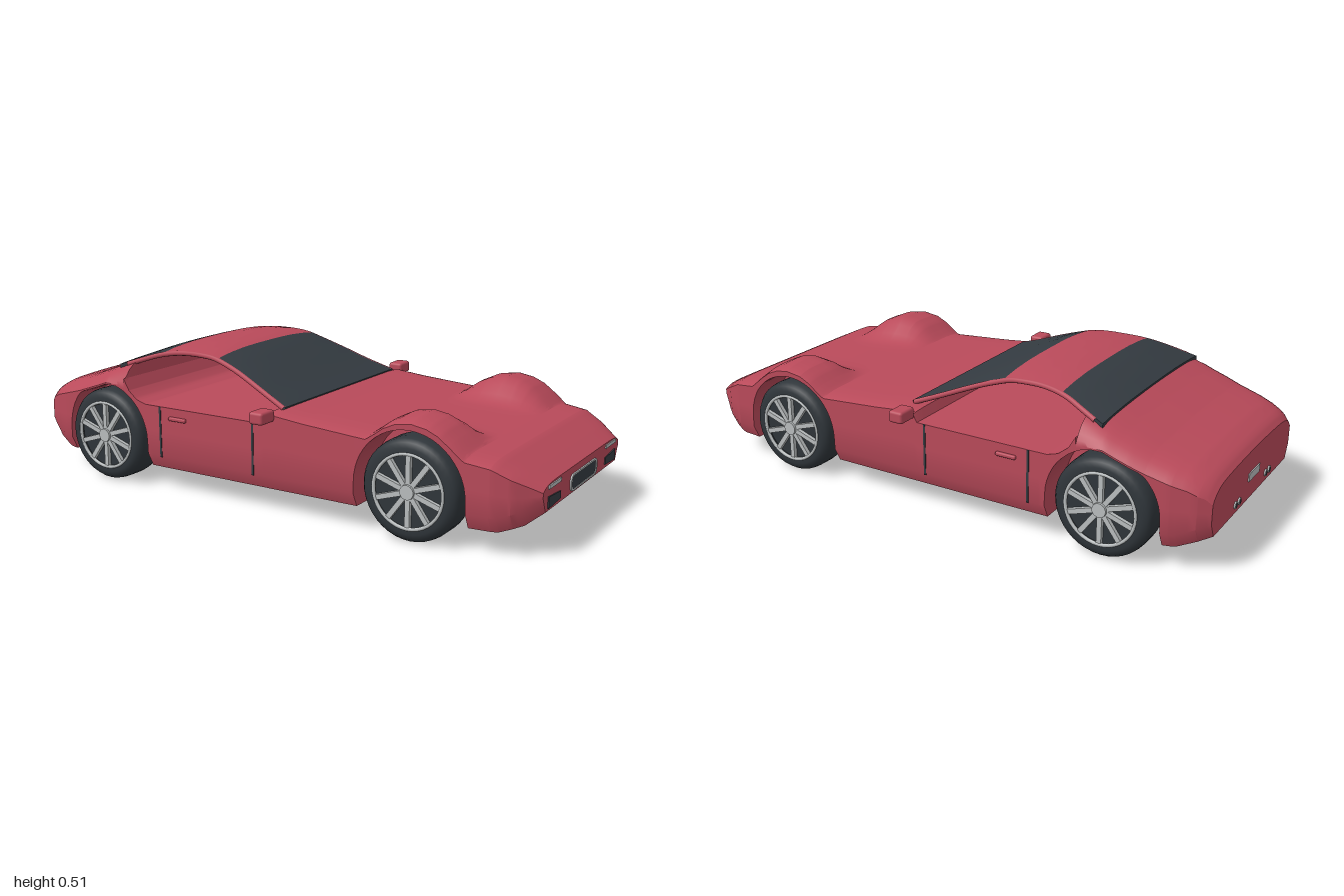
import * as THREE from 'three';
import { toCreasedNormals } from 'three/addons/utils/BufferGeometryUtils.js';
import { RoundedBoxGeometry } from 'three/addons/geometries/RoundedBoxGeometry.js';

const paint = (name, color) => {
  const m = new THREE.MeshStandardMaterial({ color });
  m.name = name;
  return m;
};

// Piecewise linear lookup through [x, value] pairs
function lerpTable(table, x) {
  if (x <= table[0][0]) return table[0][1];
  for (let i = 1; i < table.length; i++) {
    const [x0, v0] = table[i - 1], [x1, v1] = table[i];
    if (x <= x1) return v0 + (v1 - v0) * (x - x0) / (x1 - x0);
  }
  return table[table.length - 1][1];
}

// Skin over mirrored cross-sections; half(x) lists [z, y] from bottom centre round +z to top centre
function loft(xs, half, crease = 0.5) {
  const pos = [], idx = [];
  let n = 0;
  const centres = [];
  for (const x of xs) {
    const h = half(x);
    const ring = [...h, ...h.slice(1, -1).reverse().map(([z, y]) => [-z, y])];
    n = ring.length;
    ring.forEach(([z, y]) => pos.push(x, y, z));
    centres.push((h[0][1] + h[h.length - 1][1]) / 2);
  }
  const last = xs.length - 1, c = xs.length * n;
  pos.push(xs[0], centres[0], 0, xs[last], centres[last], 0);
  for (let j = 0; j < n; j++) {
    const k = (j + 1) % n;
    for (let i = 0; i < last; i++) {
      const a = i * n, b = a + n;
      idx.push(a + j, b + j, a + k, b + j, b + k, a + k);
    }
    idx.push(c, j, k, c + 1, last * n + k, last * n + j);
  }
  const g = new THREE.BufferGeometry();
  g.setAttribute('position', new THREE.Float32BufferAttribute(pos, 3));
  g.setIndex(idx);
  return toCreasedNormals(g, crease);
}

const WHEELS = [-0.66, 0.59], AXLE_Y = 0.17, ARCH = 0.195;
const WIDTH = [[-1, 0.365], [-0.96, 0.39], [-0.88, 0.415], [-0.75, 0.43], [-0.5, 0.435], [0.75, 0.435],
  [0.86, 0.425], [0.92, 0.405], [0.97, 0.37], [1, 0.35]];
const BOTTOM = [[-1, 0.125], [-0.9, 0.083], [-0.86, 0.08], [0.88, 0.08], [0.95, 0.105], [1, 0.145]];
const TOP = [[-1, 0.295], [-0.98, 0.315], [-0.93, 0.338], [-0.8, 0.375], [-0.7, 0.41], [-0.57, 0.46],
  [-0.569, 0.39], [-0.545, 0.35], [-0.51, 0.322], [-0.47, 0.31], [0.03, 0.31], [0.045, 0.343], [0.09, 0.354],
  [0.2, 0.344], [0.43, 0.33], [0.6, 0.322], [0.78, 0.31], [0.86, 0.3], [0.94, 0.262], [1, 0.232]];
const BULGE = [[0.43, 0.325], [0.47, 0.352], [0.5, 0.374], [0.54, 0.393], [0.6, 0.402], [0.65, 0.394],
  [0.69, 0.377], [0.73, 0.348], [0.78, 0.308], [0.8, 0.28]];
const DROP = [[-1, 0.04], [-0.66, 0.045], [-0.57, 0.08], [-0.569, 0], [0.03, 0], [0.06, 0.012], [1, 0.02]];
const ACROSS = [1, 0.985, 0.96, 0.92, 0.87, 0.8, 0.72, 0.64, 0.56, 0.48, 0.4, 0.3, 0.15, 0];

function bodySection(x) {
  const W = lerpTable(WIDTH, x), b = lerpTable(BOTTOM, x), top = lerpTable(TOP, x);
  const drop = lerpTable(DROP, x), crown = x < -0.5695 ? 0.015 : 0;
  const bulge = x > 0.43 && x < 0.8 ? Math.max(0, lerpTable(BULGE, x) - top) : 0;
  const height = u => top + bulge * THREE.MathUtils.smoothstep(u * W, 0.15, 0.29)
    - drop * u ** 12 - crown * u * u;
  // The lower edge of the flank rises over each wheel
  let lip = b;
  for (const cx of WHEELS) {
    const d = Math.abs(x - cx);
    if (d <= ARCH + 1e-6) lip = AXLE_Y + Math.sqrt(Math.max(0, ARCH * ARCH - d * d));
  }
  const edge = height(1);
  lip = Math.min(lip, edge - 0.006);
  const side = y => [W - 0.025 * Math.max(0, 1 - (y - b) / 0.05), y];
  const knee = Math.max(lip, Math.min(b + 0.05, edge));
  return [[0, b], [0.29, b], [0.29, lip], side(lip), side(knee), side((knee + edge) / 2),
    ...ACROSS.map(u => [u * W, height(u)])];
}

// Canopy profile: height, half width and crown along the car
const ROOF = [[-0.63, 0.442], [-0.57, 0.466], [-0.51, 0.487], [-0.46, 0.5], [-0.4, 0.507], [-0.33, 0.508],
  [-0.27, 0.504], [-0.235, 0.497], [-0.18, 0.478], [-0.1, 0.443], [0, 0.396], [0.09, 0.358]];
const ROOF_W = [[-0.63, 0.378], [-0.57, 0.36], [-0.46, 0.32], [-0.38, 0.305], [-0.235, 0.302], [-0.15, 0.313],
  [0, 0.345], [0.09, 0.37]];
const ROOF_CROWN = [[-0.63, 0.014], [-0.57, 0.018], [-0.46, 0.018], [-0.2, 0.018], [0.09, 0]];

function canopySection(x) {
  const w = lerpTable(ROOF_W, x), y = lerpTable(ROOF, x), crown = lerpTable(ROOF_CROWN, x);
  const us = [0, 0.25, 0.5, 0.75, 0.9, 1], at = u => y - crown * u ** 3;
  return [...us.map(u => [u * w, at(u) - 0.014]), ...us.reverse().map(u => [u * w, at(u)])];
}

export function createModel() {
  const car = new THREE.Group();
  car.name = 'sportsCar';
  const red = paint('bodyRed', 0xb94a5a), glass = paint('darkGlass', 0x343b41);
  const rubber = paint('tyreRubber', 0x2f353a), silver = paint('silver', 0xb9bdbe);
  const add = (name, geo, mat, x = 0, y = 0, z = 0, parent = car) => {
    const m = new THREE.Mesh(geo, mat);
    m.name = name;
    m.position.set(x, y, z);
    parent.add(m);
    return m;
  };

  // Body shell with wheel wells; extra stations round the arches
  const stations = new Set([...WIDTH, ...BOTTOM, ...TOP, ...BULGE].map(p => p[0]));
  for (let i = -38; i <= 38; i++) stations.add(i * 0.026);
  for (const cx of WHEELS) {
    for (let k = 0; k <= 24; k++) stations.add(cx + ARCH * Math.cos(Math.PI * k / 24));
    stations.add(cx - ARCH - 0.001).add(cx + ARCH + 0.001);
  }
  add('body', loft([...stations].sort((a, b) => a - b), bodySection), red).scale.x = 0.995;

  // Canopy: rear window, roof, windscreen and the rails beside them
  const span = (x0, x1) => Array.from({ length: 13 }, (_, i) => x0 + (x1 - x0) * i / 12);
  add('rearWindow', loft(span(-0.63, -0.46), canopySection), glass);
  add('roof', loft(span(-0.46, -0.235), canopySection), red);
  add('windscreen', loft(span(-0.235, 0.09), canopySection), glass);
  for (const s of [1, -1]) {
    const rail = new THREE.CatmullRomCurve3(span(-0.6, 0.085).map(x => new THREE.Vector3(
      x, lerpTable(ROOF, x) - lerpTable(ROOF_CROWN, x) - 0.008, s * lerpTable(ROOF_W, x))));
    add('roofRail', new THREE.TubeGeometry(rail, 40, 0.009, 8), red);
  }

  // Door seams, handles and mirrors
  for (const s of [1, -1]) {
    for (const x of [-0.4, 0]) {
      add('doorSeam', new THREE.BoxGeometry(0.008, 0.185, 0.004), glass, x, 0.2175, s * 0.435);
    }
    add('doorHandle', new RoundedBoxGeometry(0.075, 0.014, 0.014, 2, 0.005), red, -0.32, 0.273, s * 0.438);
    add('mirror', new RoundedBoxGeometry(0.055, 0.042, 0.076, 3, 0.01), red, 0.065, 0.345, s * 0.472);
    add('mirrorStalk', new THREE.BoxGeometry(0.025, 0.014, 0.05), red, 0.065, 0.333, s * 0.425);
  }

  // Nose: oval grille, air intakes and lamps
  const oval = (a, b) => {
    const shape = new THREE.Shape();
    shape.moveTo(-a + b, -b).lineTo(a - b, -b);
    shape.bezierCurveTo(a, -b, a, b, a - b, b);
    shape.lineTo(-a + b, b).bezierCurveTo(-a, b, -a, -b, -a + b, -b);
    return shape;
  };
  const plate = (shape, depth) => new THREE.ExtrudeGeometry(shape, { depth, bevelEnabled: false, curveSegments: 16 })
    .rotateY(Math.PI / 2);
  const rim = oval(0.13, 0.028);
  rim.holes.push(oval(0.117, 0.022));
  add('grilleRim', plate(rim, 0.005), silver, 0.995, 0.18, 0);
  add('grille', plate(oval(0.12, 0.023), 0.003), glass, 0.995, 0.18, 0);
  for (const s of [1, -1]) {
    const intake = new THREE.Shape([[-0.05, -0.012], [0.05, -0.018], [0.05, 0.02], [-0.05, 0.012]]
      .map(([a, b]) => new THREE.Vector2(-s * a, b)));
    add('airIntake', plate(intake, 0.004), glass, 0.995, 0.171, s * 0.26);
    add('headlamp', new THREE.BoxGeometry(0.008, 0.012, 0.1), silver, 0.995, 0.22, s * 0.26);
  }

  // Tail: plate and paired exhaust tips
  add('tailPlate', new THREE.BoxGeometry(0.006, 0.028, 0.1), silver, -0.996, 0.205, 0);
  for (const z of [-0.16, -0.125, 0.125, 0.16]) {
    add('exhaustTip', new THREE.CylinderGeometry(0.012, 0.012, 0.02, 16).rotateZ(Math.PI / 2), silver, -0.99, 0.155, z);
    add('exhaustBore', new THREE.CylinderGeometry(0.008, 0.008, 0.002, 16).rotateZ(Math.PI / 2), glass, -1, 0.155, z);
  }

  // Wheels, built facing +z and turned round for the other side
  const tyre = new THREE.LatheGeometry([[0, -0.07], [0.13, -0.07], [0.155, -0.065], [0.167, -0.05], [0.17, -0.03],
    [0.17, 0.03], [0.167, 0.05], [0.157, 0.064], [0.14, 0.07], [0.124, 0.07], [0.122, 0.055], [0, 0.055]]
    .map(([r, y]) => new THREE.Vector2(r, y)), 40).rotateX(Math.PI / 2);
  for (const cx of WHEELS) for (const s of [1, -1]) {
    const wheel = new THREE.Group();
    wheel.name = 'wheel';
    wheel.position.set(cx, AXLE_Y, s * 0.37);
    if (s < 0) wheel.rotation.y = Math.PI;
    car.add(wheel);
    add('tyre', toCreasedNormals(tyre, 0.7), rubber, 0, 0, 0, wheel);
    add('rim', new THREE.TorusGeometry(0.121, 0.006, 8, 40), silver, 0, 0, 0.068, wheel);
    add('hub', new THREE.CylinderGeometry(0.024, 0.027, 0.022, 20).rotateX(Math.PI / 2), silver, 0, 0, 0.067, wheel);
    for (let k = 0; k < 10; k++) {
      const a = (k + 0.5) * Math.PI / 5;
      const spoke = add('spoke', new THREE.BoxGeometry(0.1, 0.017, 0.014), silver,
        0.07 * Math.cos(a), 0.07 * Math.sin(a), 0.064, wheel);
      spoke.rotation.z = a;
    }
  }
  return car;
}
